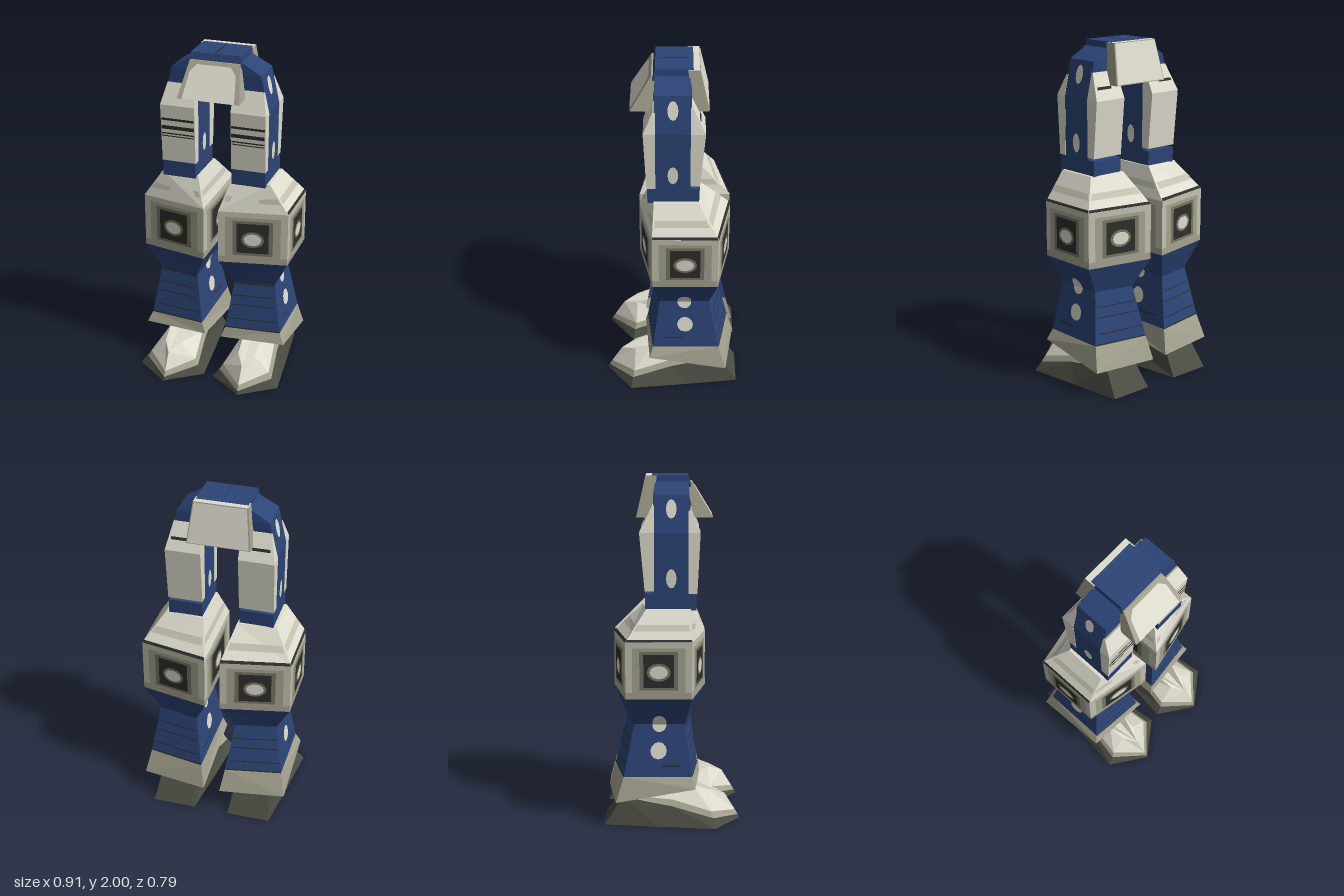
import * as THREE from 'three';

const mat = (name, color, side = THREE.FrontSide) => {
  const m = new THREE.MeshStandardMaterial({ color, side });
  m.name = name;
  return m;
};
const navy = mat('navy', 0x2c4477);
const cream = mat('cream', 0xdfddcf);
const stone = mat('stone', 0xc3c1b0);
const tan = mat('tan', 0xa5a38f);
const olive = mat('olive', 0x77756400 >>> 8);
const charcoal = mat('charcoal', 0x2d2d2b);
const soleGrey = mat('soleGrey', 0x4b4c43);

// Four-cornered ring: inner front, outer front, outer back, inner back
const ring = (y, xi, xo, zfi, zbi, zfo = zfi, zbo = zbi, yBack = y) => [
  [xi, y, zfi], [xo, y, zfo], [xo, yBack, zbo], [xi, yBack, zbi],
];

// Flat-shaded solid through stacked rings; one material per level, then the caps
function loft(name, rings, levels, bottom, top) {
  const mats = [], pos = [], geo = new THREE.BufferGeometry();
  const part = (material, tris) => {
    geo.addGroup(pos.length / 3, tris.length, mats.length);
    mats.push(material);
    tris.forEach((p) => pos.push(...p));
  };
  const n = rings[0].length;
  const fan = (r) => {
    const t = [];
    for (let i = 1; i < n - 1; i++) t.push(r[0], r[i], r[i + 1]);
    return t;
  };
  part(bottom, fan([...rings[0]].reverse()));
  for (let k = 0; k < rings.length - 1; k++) {
    const a = rings[k], b = rings[k + 1], t = [];
    for (let i = 0; i < n; i++) {
      const j = (i + 1) % n;
      t.push(a[i], a[j], b[j], a[i], b[j], b[i]);
    }
    part(levels[k], t);
  }
  part(top, fan(rings[rings.length - 1]));
  geo.setAttribute('position', new THREE.Float32BufferAttribute(pos, 3));
  geo.computeVertexNormals();
  const mesh = new THREE.Mesh(geo, mats);
  mesh.name = name;
  return mesh;
}

// One face between two rings: 0 front, 1 outer, 2 back, 3 inner
const face = (a, b, i) => [a[i], a[(i + 1) % 4], b[(i + 1) % 4], b[i]].map((p) => new THREE.Vector3(...p));

// Painted detail: a polygon in face coordinates, lifted just off the face
function decal(name, f, pts, material, lift = 0.003) {
  const [bl, br, tr, tl] = f;
  const normal = br.clone().sub(bl).cross(tl.clone().sub(bl)).normalize().multiplyScalar(lift);
  const at = ([u, v]) => bl.clone().lerp(br, u).lerp(tl.clone().lerp(tr, u), v).add(normal);
  const p = pts.map(at), out = [];
  for (let i = 1; i < p.length - 1; i++) out.push(p[0], p[i], p[i + 1]);
  const geo = new THREE.BufferGeometry().setFromPoints(out);
  geo.computeVertexNormals();
  const mesh = new THREE.Mesh(geo, material);
  mesh.name = name;
  return mesh;
}
const rect = (u0, v0, u1, v1) => [[u0, v0], [u1, v0], [u1, v1], [u0, v1]];
function oval(f, cu, cv, rx, ry, from = 0, to = Math.PI * 2) {
  const w = (f[0].distanceTo(f[1]) + f[2].distanceTo(f[3])) / 2;
  const h = f[0].clone().add(f[1]).distanceTo(f[2].clone().add(f[3])) / 2;
  return Array.from({ length: 13 }, (_, i) => {
    const t = from + ((to - from) * i) / 12;
    return [cu + (rx / w) * Math.cos(t), cv + (ry / h) * Math.sin(t)];
  });
}

function makeLeg() {
  const leg = new THREE.Group();

  // Foot: levels from sole to instep, half outline given from toe to heel
  const outline = (half) => {
    const cx = 0.235;
    const right = half.map(([w, y, z]) => [cx + w, y, z]);
    const left = half.slice(1).reverse().map(([w, y, z]) => [cx - w, y, z]);
    return [...right, ...left];
  };
  leg.add(loft('foot', [
    outline([[0, 0, 0.395], [0.207, 0, 0.245], [0.17, 0, -0.08], [0.13, 0, -0.395]]),
    outline([[0, 0.02, 0.385], [0.165, 0.05, 0.235], [0.13, 0.11, 0], [0.105, 0.16, -0.29]]),
    outline([[0, 0.05, 0.367], [0.145, 0.085, 0.225], [0.11, 0.145, 0], [0.09, 0.167, -0.28]]),
    outline([[0, 0.15, 0.305], [0.05, 0.18, 0.22], [0.06, 0.215, 0.12], [0.07, 0.17, -0.25]]),
  ], [soleGrey, tan, cream], navy, cream));

  // Shin with a slanted cuff
  const hem = ring(0.235, 0.05, 0.44, 0.16, -0.38, 0.13, -0.325, 0.155);
  const cuff = ring(0.3, 0.075, 0.41, 0.145, -0.34, 0.11, -0.28);
  const waist = ring(0.6, 0.12, 0.36, 0.1, -0.27, 0.07, -0.22);
  const kneeLow = ring(0.765, 0.045, 0.445, 0.19, -0.345, 0.11, -0.265);
  const kneeHigh = ring(1.09, 0.045, 0.445, 0.19, -0.345, 0.11, -0.265);
  const kneeTop = ring(1.26, 0.1, 0.328, 0.12, -0.17, 0.1, -0.15);
  leg.add(loft('shin', [hem, cuff, waist, kneeLow], [tan, navy, navy], olive, navy));
  for (const i of [0, 2]) {
    const f = face(cuff, waist, i);
    for (const v of [0.2, 0.5, 0.7]) leg.add(decal('shinLine', f, rect(0.04, v, 0.96, v + 0.02), charcoal));
    leg.add(decal('cuffLine', f, rect(0, 0, 1, 0.025), charcoal));
  }
  leg.add(decal('shinBand', face(cuff, waist, 0), rect(0, 0.96, 1, 1), charcoal));
  for (const i of [1, 3]) {
    const low = face(cuff, waist, i), high = face(waist, kneeLow, i);
    leg.add(decal('shinSpot', low, oval(low, 0.5, 0.5, 0.047, 0.05), cream));
    leg.add(decal('shinSpot', low, oval(low, 0.5, 1, 0.047, 0.045, Math.PI, Math.PI * 2), cream));
    leg.add(decal('shinSpot', high, oval(high, 0.5, 0, 0.047, 0.065, 0, Math.PI), cream));
    leg.add(decal('shinDash', low, rect(0.15, 0.19, 0.45, 0.22), charcoal));
  }

  // Knee block with framed panels on every side
  leg.add(loft('kneeBlock', [kneeLow, kneeHigh], [stone], stone, stone));
  for (let i = 0; i < 4; i++) {
    const f = face(kneeLow, kneeHigh, i);
    leg.add(decal('kneeLowerTrim', f, rect(0, 0, 1, 0.12), tan, 0.001));
    leg.add(decal('kneeFrame', f, rect(0.1, 0.08, 0.9, 0.9), tan, 0.002));
    leg.add(decal('kneeInnerFrame', f, rect(0.21, 0.16, 0.79, 0.84), olive, 0.004));
    leg.add(decal('kneePanel', f, rect(0.27, 0.21, 0.73, 0.79), charcoal, 0.006));
    leg.add(decal('kneeLampRim', f, oval(f, 0.5, 0.48, 0.068, 0.052), olive, 0.007));
    leg.add(decal('kneeLamp', f, oval(f, 0.5, 0.48, 0.052, 0.038), cream, 0.009));
  }

  // Sloping collar above the knee
  leg.add(loft('kneeCollar', [kneeHigh, kneeTop], [cream], cream, cream));
  for (let i = 0; i < 4; i++) {
    const f = face(kneeHigh, kneeTop, i);
    leg.add(decal('collarBand', f, rect(0.03, 0.33, 0.97, 0.52), stone));
    if (i === 1 || i === 2) leg.add(decal('collarLine', f, rect(0, 0, 1, 0.08), charcoal));
  }

  // Thigh: blue core with cream plates in front and behind
  const c0 = ring(1.345, 0.11, 0.31, 0.095, -0.11);
  const c1 = ring(1.69, 0.11, 0.312, 0.095, -0.11);
  const c2 = ring(1.9, 0.1, 0.265, 0.095, -0.11);
  const c3 = ring(1.965, 0.08, 0.15, 0.09, -0.1);
  leg.add(loft('thighBase', [ring(1.25, 0.11, 0.31, 0.135, -0.155), ring(1.345, 0.11, 0.31, 0.138, -0.158)],
    [navy], navy, navy));
  leg.add(loft('thighCore', [c0, c1, c2, c3], [navy, navy, navy], navy, navy));
  const p0 = ring(1.345, 0.108, 0.312, 0.14, 0.09);
  const p1 = ring(1.69, 0.108, 0.314, 0.157, 0.09);
  leg.add(loft('thighFrontPlate', [p0, p1, ring(1.81, 0.108, 0.287, 0.105, 0.09)], [cream, cream], cream, tan));
  const b0 = ring(1.36, 0.108, 0.312, -0.105, -0.158);
  const b1 = ring(1.69, 0.108, 0.314, -0.105, -0.188);
  const b2 = ring(1.84, 0.108, 0.28, -0.105, -0.115);
  leg.add(loft('thighBackPlate', [b0, b1, b2], [cream, cream], cream, cream));
  leg.add(decal('backPlateLine', face(b1, b2, 2), rect(0.08, 0.38, 0.62, 0.48), charcoal));
  const front = face(p0, p1, 0);
  for (const [y, h] of [[1.605, 0.014], [1.555, 0.022], [1.518, 0.008], [1.502, 0.006]]) {
    const v = (y - 1.345) / 0.345;
    leg.add(decal('thighStripe', front, rect(0.02, v - h / 0.69, 0.98, v + h / 0.69), charcoal));
  }
  for (const i of [1, 3]) {
    const low = face(c0, c1, i), high = face(c1, c2, i);
    leg.add(decal('thighSpot', low, oval(low, 0.5, 0.25, 0.03, 0.055), cream));
    leg.add(decal('hipSpot', high, oval(high, 0.5, 0.62, 0.03, 0.055), cream));
  }
  return leg;
}

// Mirror a group across x = 0, keeping the faces outward
function mirrored(group) {
  const copy = group.clone(true);
  copy.traverse((o) => {
    if (!o.isMesh) return;
    o.geometry = o.geometry.clone().scale(-1, 1, 1);
    const p = o.geometry.attributes.position, a = new THREE.Vector3(), b = new THREE.Vector3();
    for (let i = 0; i < p.count; i += 3) {
      a.fromBufferAttribute(p, i + 1);
      b.fromBufferAttribute(p, i + 2);
      p.setXYZ(i + 1, b.x, b.y, b.z);
      p.setXYZ(i + 2, a.x, a.y, a.z);
    }
    o.geometry.computeVertexNormals();
  });
  return copy;
}

function makePelvis() {
  const pelvis = new THREE.Group();
  pelvis.name = 'pelvis';
  const low = ring(1.95, -0.152, 0.152, 0.105, -0.12);
  const top = ring(2, -0.148, 0.148, 0.09, -0.12);
  pelvis.add(loft('pelvisBlock', [ring(1.8, -0.15, 0.15, 0.1, -0.12), low, top], [navy, navy], navy, navy));
  const seam = [[-0.012, 0.1], [0.002, 0.1], [0.002, -0.09], [-0.012, -0.09]]
    .map(([x, z]) => new THREE.Vector3(x, 1.997, Math.min(z, 0.09)));
  pelvis.add(decal('topSeam', seam, rect(0, 0, 1, 1), charcoal, 0.003));

  // Hanging skirt flaps
  const f0 = ring(1.765, -0.183, 0.183, 0.23, 0.12), f1 = ring(1.96, -0.147, 0.147, 0.112, 0.08);
  pelvis.add(loft('frontFlap', [f0, f1], [tan], olive, tan));
  pelvis.add(decal('frontFlapPanel', face(f0, f1, 0),
    [[0.08, 0], [0.92, 0], [0.93, 0.7], [0.83, 0.9], [0.17, 0.9], [0.07, 0.7]], cream));
  const r0 = ring(1.765, -0.183, 0.183, -0.12, -0.208), r1 = ring(1.999, -0.155, 0.155, -0.09, -0.155);
  pelvis.add(loft('backFlap', [r0, r1], [tan], olive, cream));
  pelvis.add(decal('backFlapPanel', face(r0, r1, 2), rect(0.02, 0.02, 0.98, 0.98), cream));
  return pelvis;
}

export function createModel() {
  const model = new THREE.Group();
  model.name = 'armouredLegs';
  const left = makeLeg(), right = mirrored(left);
  left.name = 'leftLeg';
  right.name = 'rightLeg';
  model.add(left, right, makePelvis());
  return model;
}
